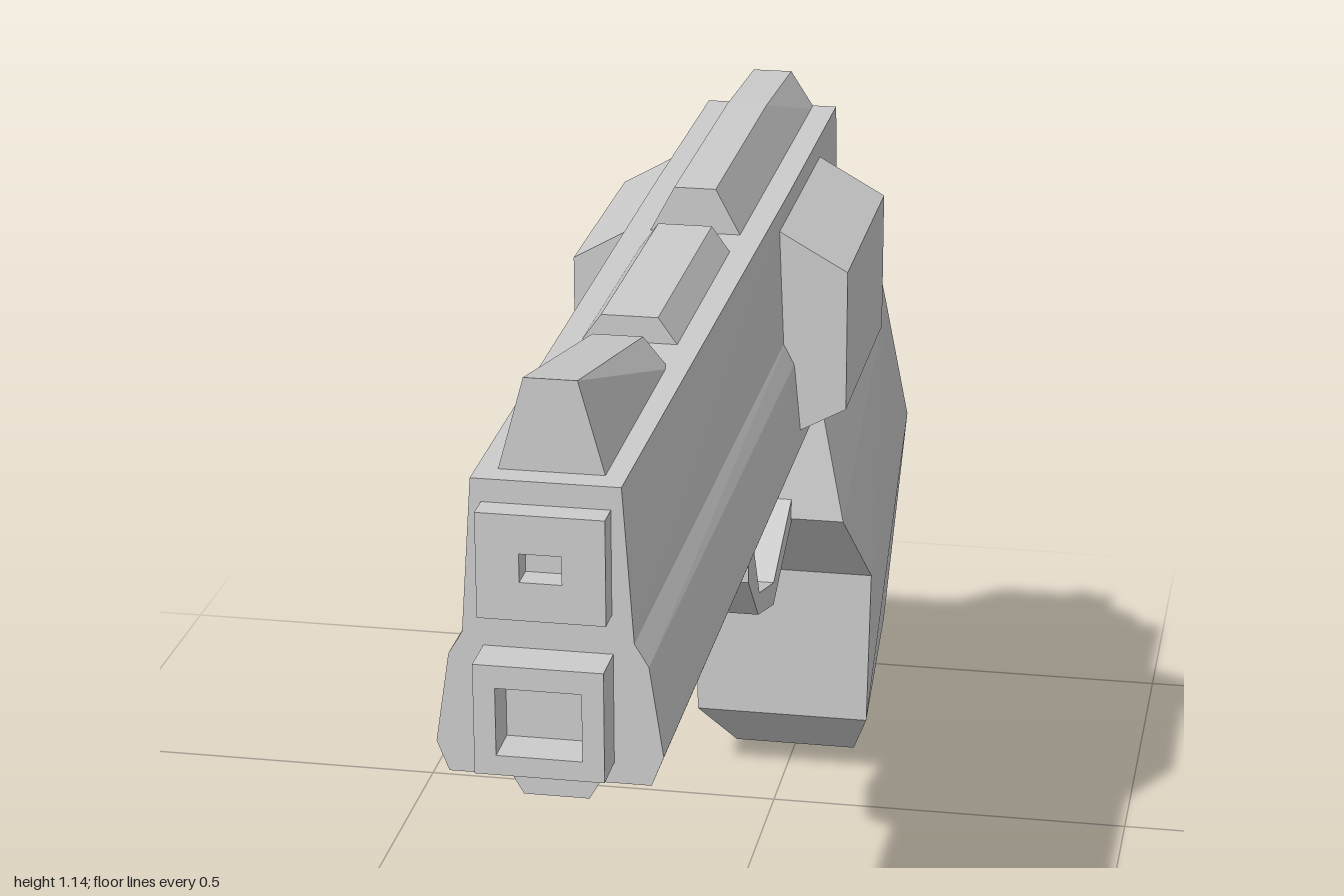
import * as THREE from 'three';

const grey = new THREE.MeshStandardMaterial({ color: 0xcccccc, flatShading: true });

// Solid skin through closed rings of [x, y, z] corners, capped at both ends
function loft(name, rings) {
  const n = rings[0].length, pos = rings.flat(2), idx = [];
  for (let r = 0; r < rings.length - 1; r++) {
    for (let i = 0; i < n; i++) {
      const a = r * n + i, b = r * n + (i + 1) % n;
      idx.push(a, a + n, b, b, a + n, b + n);
    }
  }
  [0, rings.length - 1].forEach((r) => {
    const c = pos.length / 3;
    for (let k = 0; k < 3; k++) pos.push(rings[r].reduce((s, p) => s + p[k], 0) / n);
    for (let i = 0; i < n; i++) {
      const a = r * n + i, b = r * n + (i + 1) % n;
      if (r === 0) idx.push(c, a, b); else idx.push(c, b, a);
    }
  });
  // Turn the faces outward when the rings run the other way
  const at = (i) => new THREE.Vector3().fromArray(pos, i * 3);
  let volume = 0;
  for (let i = 0; i < idx.length; i += 3) volume += at(idx[i]).dot(at(idx[i + 1]).cross(at(idx[i + 2])));
  if (volume < 0) idx.reverse();
  const g = new THREE.BufferGeometry();
  g.setAttribute('position', new THREE.Float32BufferAttribute(pos, 3));
  g.setIndex(idx);
  return finish(name, g.toNonIndexed());
}

function finish(name, geometry) {
  geometry.computeVertexNormals();
  const mesh = new THREE.Mesh(geometry, grey);
  mesh.name = name;
  return mesh;
}

// Symmetric ring at depth z from right-hand [x, y] points
const ring = (z, half) => [
  ...half.map(([x, y]) => [x, y, z]),
  ...half.slice().reverse().map(([x, y]) => [-x, y, z]),
];

// Side outline of [z, y] points extruded across x
function plate(name, outline, halfWidth, x = 0) {
  const shape = new THREE.Shape(outline.map(([z, y]) => new THREE.Vector2(-z, y)));
  const g = new THREE.ExtrudeGeometry(shape, { depth: halfWidth * 2, bevelEnabled: false });
  g.translate(0, 0, -halfWidth).rotateY(Math.PI / 2).translate(x, 0, 0);
  return finish(name, g);
}

// Rib with four-cornered sections: [z, base y, top y]
const rib = (name, sections, base, top) => loft(name, sections.map(([z, y0, y1]) => [
  [base, y0, z], [top, y1, z], [-top, y1, z], [-base, y0, z],
]));

// Square block with a square opening, facing forward
function muzzleBlock(name, w, y0, y1, z1, hw, h0, h1) {
  const rect = (C, x, a, b) => new C([[-x, a], [x, a], [x, b], [-x, b]].map((p) => new THREE.Vector2(...p)));
  const shape = rect(THREE.Shape, w, y0, y1);
  shape.holes.push(rect(THREE.Path, hw, h0, h1));
  const g = new THREE.ExtrudeGeometry(shape, { depth: z1 - 0.94, bevelEnabled: false });
  return finish(name, g.translate(0, 0, 0.94));
}

export function createModel() {
  const model = new THREE.Group();

  // Barrel and frame, tapering at the back
  model.add(loft('barrelAndFrame', [
    ring(0.95, [[0.078, 1.04], [0.09, 0.87], [0.105, 0.845], [0.12, 0.745], [0.107, 0.712]]),
    ring(-0.06, [[0.085, 1.04], [0.092, 0.87], [0.105, 0.845], [0.115, 0.74], [0.1, 0.712]]),
    ring(-0.45, [[0.085, 1.04], [0.088, 0.885], [0.09, 0.87], [0.09, 0.75], [0.06, 0.69]]),
    ring(-0.58, [[0.055, 0.9], [0.062, 0.87], [0.064, 0.86], [0.064, 0.84], [0.06, 0.82]]),
  ]));

  // Six-sided cylinder
  const drum = [[0.085, 1.015], [0.17, 0.967], [0.17, 0.79], [0.1, 0.752]];
  model.add(loft('cylinder', [ring(0.015, drum), ring(-0.305, drum)]));

  // Ribs along the top
  model.add(rib('frontSight', [[0.92, 1.035, 1.14], [0.58, 1.035, 1.07]], 0.057, 0.028));
  model.add(rib('middleRib', [[0.515, 1.035, 1.07], [0.18, 1.035, 1.07]], 0.057, 0.032));
  model.add(rib('rearRib', [
    [0.115, 1.035, 1.095], [-0.25, 1.035, 1.095], [-0.45, 1.035, 1.085], [-0.58, 0.895, 0.963],
  ], 0.057, 0.025));

  // Lugs and frame under the barrel
  [[0.92, 0.58], [0.515, 0.18]].forEach(([a, b]) => {
    model.add(rib('underLug', [[a, 0.715, 0.677], [b, 0.715, 0.677]], 0.057, 0.035));
  });
  model.add(rib('triggerFrame', [
    [0.115, 0.72, 0.68], [-0.06, 0.72, 0.662], [-0.23, 0.73, 0.647], [-0.45, 0.74, 0.69],
  ], 0.075, 0.055));

  // Muzzle blocks
  model.add(muzzleBlock('upperMuzzle', 0.067, 0.9, 1.015, 0.98, 0.022, 0.942, 0.973));
  model.add(muzzleBlock('lowerMuzzle', 0.068, 0.735, 0.857, 1, 0.045, 0.757, 0.832));

  // Trigger and its guard
  model.add(plate('triggerGuard', [
    [-0.07, 0.67], [-0.068, 0.515], [-0.145, 0.438], [-0.27, 0.4], [-0.43, 0.467],
    [-0.43, 0.5], [-0.27, 0.432], [-0.155, 0.465], [-0.112, 0.54], [-0.122, 0.67],
  ], 0.035));
  model.add(plate('trigger', [[-0.265, 0.67], [-0.287, 0.555], [-0.437, 0.587], [-0.42, 0.7]], 0.032));

  // Hammer between two cheeks
  model.add(plate('hammer', [
    [-0.56, 0.82], [-0.56, 0.86], [-0.595, 0.885], [-0.625, 0.932], [-0.655, 0.922],
    [-0.63, 0.88], [-0.66, 0.82],
  ], 0.018));
  [-1, 1].forEach((s) => {
    model.add(plate('hammerCheek', [[-0.56, 0.81], [-0.56, 0.9], [-0.58, 0.89], [-0.675, 0.81]], 0.014, s * 0.042));
  });

  // Grip: front and back corners as [z, y, half width] from top to bottom
  const grip = [
    [[-0.58, 0.82, 0.062], [-0.72, 0.82, 0.09]],
    [[-0.45, 0.69, 0.057], [-0.755, 0.67, 0.115]],
    [[-0.412, 0.468, 0.107], [-0.755, 0.67, 0.115]],
    [[-0.565, 0.328, 0.126], [-0.947, 0.432, 0.124]],
    [[-0.565, 0.104, 0.122], [-1, 0.075, 0.087]],
    [[-0.692, 0, 0.087], [-1, 0.075, 0.087]],
  ];
  model.add(loft('grip', grip.map(([[fz, fy, fx], [bz, by, bx]]) => [
    [fx, fy, fz], [bx, by, bz], [-bx, by, bz], [-fx, fy, fz],
  ])));

  return model;
}
